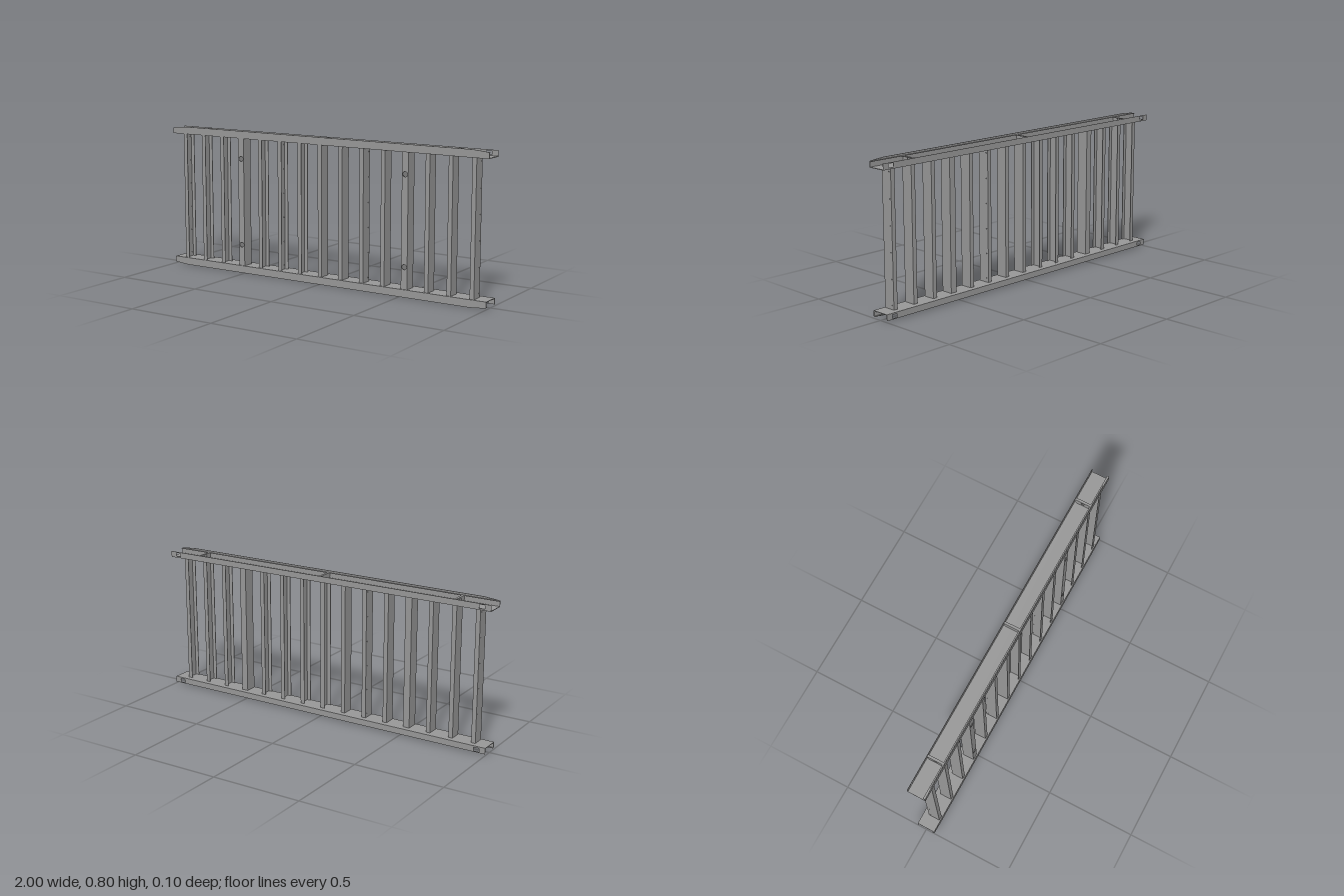
import * as THREE from 'three';

const material = new THREE.MeshStandardMaterial({ color: 0x979797, flatShading: true });
const H = 0.804, WEB = 0.763, T = 0.003;

function add(group, name, geometry, x = 0, y = 0, z = 0) {
  const mesh = new THREE.Mesh(geometry, material);
  mesh.name = name;
  mesh.position.set(x, y, z);
  group.add(mesh);
  return mesh;
}

// Box given by its limits on each axis
function block(group, name, x0, x1, y0, y1, z0, z1) {
  return add(group, name, new THREE.BoxGeometry(x1 - x0, y1 - y0, z1 - z0),
    (x0 + x1) / 2, (y0 + y1) / 2, (z0 + z1) / 2);
}

// Flat sheet from an outline and holes, in the xy plane, thickened along +z
function sheet(outline, holes, depth) {
  const shape = new THREE.Shape(outline.map(([x, y]) => new THREE.Vector2(x, y)));
  shape.holes.push(...holes);
  return new THREE.ExtrudeGeometry(shape, { depth, bevelEnabled: false, curveSegments: 8 });
}

// Same sheet turned so that its outline is read as (-z, y) and its depth runs along +x
const sideSheet = (outline, holes, depth) => sheet(outline, holes, depth).rotateY(Math.PI / 2);

const roundHole = (x, y, r) => new THREE.Path().absarc(x, y, r, 0, Math.PI * 2, true);
const rectHole = (x, y, w, h) => new THREE.Path([
  [x - w / 2, y - h / 2], [x - w / 2, y + h / 2], [x + w / 2, y + h / 2], [x + w / 2, y - h / 2],
].map(([a, b]) => new THREE.Vector2(a, b)));

// Channel rail opening upwards, with cross plates
function makeRail(name) {
  const rail = new THREE.Group();
  rail.name = name;
  block(rail, 'railWeb', -1, 1, WEB, WEB + T, -0.05, 0.046);

  // Front flange with tapered ends, and the lip folded in from it
  add(rail, 'frontFlange', sheet([
    [-1, WEB], [1, WEB], [1, 0.795], [0.97, 0.799], [0.91, H],
    [-0.91, H], [-0.97, 0.799], [-1, 0.795],
  ], [], 0.005), 0, 0, 0.046);
  block(rail, 'frontLip', -1, 1, 0.792, 0.795, 0.039, 0.046);

  // Back flange with a rectangular slot near each end
  add(rail, 'backFlange', sheet(
    [[-1, WEB], [1, WEB], [1, 0.796], [-1, 0.796]],
    [-0.95, 0.95].map((x) => rectHole(x, 0.781, 0.03, 0.02)), 0.002), 0, 0, -0.051);

  // Cross plates with clipped corners and a folded lip
  for (const x of [-0.8, 0, 0.8]) {
    add(rail, 'crossPlate', sideSheet(
      [[-0.042, 0.774], [-0.034, WEB + T], [0.037, WEB + T], [0.046, 0.774], [0.048, 0.795], [-0.042, 0.795]],
      x ? [roundHole(0.001, 0.782, 0.009)] : [], T), x - 0.007);
    block(rail, 'crossPlateLip', x - 0.004, x + 0.007, 0.792, 0.795, -0.048, 0.039);
  }
  return rail;
}

// Vertical members
const Y0 = H - WEB, Y1 = WEB, ZF = 0.0445, ZB = -0.0205;

// Open channel stud whose solid web faces the given side
function makeStud(x, side, drilled) {
  const stud = new THREE.Group();
  stud.name = 'stud';
  const w = 0.012;
  const holes = drilled
    ? [0, 1, 2, 3, 4, 5].map((i) => roundHole(0.0085, 0.063 + i * 0.1356, 0.0028)) : [];
  add(stud, 'studWeb', sideSheet([[-ZF, Y0], [-ZB, Y0], [-ZB, Y1], [-ZF, Y1]], holes, T),
    side > 0 ? w - T : -w);
  block(stud, 'studFrontFlange', -w, w, Y0, Y1, ZF - T, ZF);
  block(stud, 'studBackFlange', -w, w, Y0, Y1, ZB, ZB + T);
  stud.position.x = x;
  return stud;
}

// Wide box post with two fixing holes in its front wall
function makePost(x) {
  const post = new THREE.Group();
  post.name = 'boxPost';
  const w = 0.0185;
  add(post, 'postFront', sheet([[-w, Y0], [w, Y0], [w, Y1], [-w, Y1]],
    [roundHole(0, 0.16, 0.014), roundHole(0, 0.648, 0.014)], T), 0, 0, ZF - T);
  block(post, 'postBack', -w, w, Y0, Y1, ZB, ZB + T);
  for (const s of [-1, 1]) {
    const c = s * (w - T / 2);
    block(post, 'postSide', c - T / 2, c + T / 2, Y0, Y1, ZB + T, ZF - T);
  }
  post.position.x = x;
  return post;
}

export function createModel() {
  const model = new THREE.Group();
  model.name = 'wallFrame';

  // Bottom rail is the top rail turned over
  model.add(makeRail('topRail'));
  const bottom = makeRail('bottomRail');
  bottom.rotation.z = Math.PI;
  bottom.position.y = H;
  model.add(bottom);

  // Studs face outwards on each half; the fourth from each end is a box post
  for (let i = -7; i <= 7; i++) {
    const x = i * 0.131, n = Math.abs(i);
    model.add(n === 4 ? makePost(x) : makeStud(x, i < 0 ? -1 : 1, n === 7 || n === 2));
  }
  return model;
}
